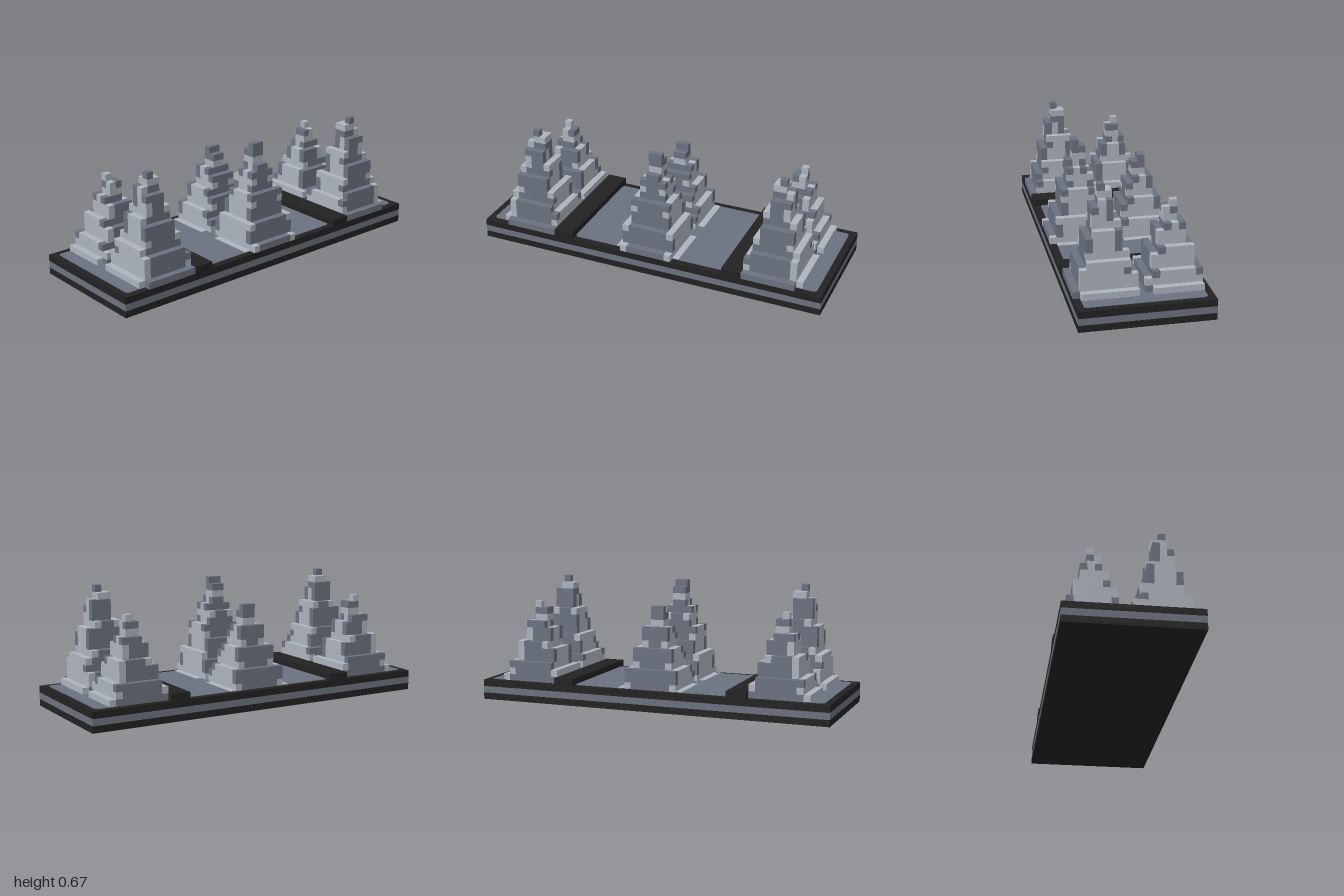
import * as THREE from 'three';
import { mergeGeometries } from 'three/addons/utils/BufferGeometryUtils.js';

const U = 1 / 27; // one block
const material = (name, color) => {
  const m = new THREE.MeshStandardMaterial({ color });
  m.name = name;
  return m;
};

// Box between block coordinates; x counts from the right edge of the base (0..19)
function block(x0, x1, y0, y1, z0, z1) {
  const g = new THREE.BoxGeometry((x1 - x0) * U, (y1 - y0) * U, (z1 - z0) * U);
  return g.translate(((x0 + x1) / 2 - 9.5) * U, ((y0 + y1) / 2) * U, ((z0 + z1) / 2) * U);
}

// How many steps have been taken below layer y
const steps = (heights, y) => heights.filter((h) => y >= h).length;

// Step heights on each side of the short and the tall spire
const SPIRES = [
  {
    name: 'shortSpire', top: 15, x0: 1, x1: 9,
    low: [6, 9, 12], high: [5, 8, 11, 14],
    outer: [4, 6, 9, 12], inner: [5, 8, 11, 14], middle: [6, 9, 12],
    darkLow: [5, 11, 13], darkHigh: [3, 5, 8, 11],
  },
  {
    name: 'tallSpire', top: 18, x0: 10, x1: 19,
    low: [6, 9, 13, 17], high: [4, 7, 11, 15],
    outer: [4, 8, 12, 16], inner: [6, 9, 13, 17], middle: [7, 11, 14],
    darkLow: [6, 9, 10, 11, 13, 14, 15, 17], darkHigh: [3, 9, 10, 14],
  },
];

// Stepped spire: dark flanks, light front and back rows, mixed corners
function spire(s, row, light, dark) {
  const lightParts = [], darkParts = [];
  for (let y = 3; y < s.top; y++) {
    const x0 = s.x0 + steps(s.low, y), x1 = s.x1 - steps(s.high, y);
    let z0, z1;
    if (row === 0) {
      z1 = 4 - steps(s.middle, y);
      z0 = -z1;
    } else {
      z0 = 15 + steps(s.inner, y);
      z1 = 24 - steps(s.outer, y);
      if (row < 0) [z0, z1] = [-z1, -z0];
    }
    if (z1 - z0 > 2) darkParts.push(block(x0, x1, y, y + 1, z0 + 1, z1 - 1));

    // Front and back rows of this layer
    for (const z of new Set([z0, z1 - 1])) {
      if (x1 - x0 > 2) lightParts.push(block(x0 + 1, x1 - 1, y, y + 1, z, z + 1));
      const isOuter = row !== 0 && z === (row > 0 ? z1 - 1 : z0);
      for (const x of new Set([x0, x1 - 1])) {
        const listed = (x === x0 ? s.darkLow : s.darkHigh).includes(y);
        if (isOuter && listed && y === 3) continue; // trimmed foot corner
        const isDark = isOuter ? listed : row === 0 ? y % 3 !== 0 : y % 4 !== 0;
        (isDark ? darkParts : lightParts).push(block(x, x + 1, y, y + 1, z, z + 1));
      }
    }
  }
  // Flush foot strips of the middle spires
  if (row === 0) {
    for (const z of [-5, 4]) lightParts.push(block(s.x0 + (s.x0 > 9 ? 1 : 0), s.x1 - 1, 2.9, 3.15, z, z + 1));
  }
  const group = new THREE.Group();
  group.name = s.name;
  for (const [name, parts, mat] of [['lightStone', lightParts, light], ['darkStone', darkParts, dark]]) {
    const mesh = new THREE.Mesh(mergeGeometries(parts), mat);
    mesh.name = name;
    group.add(mesh);
  }
  return group;
}

export function createModel() {
  const black = material('black stone', 0x222222);
  const dark = material('dark grey stone', 0x6b7280);
  const light = material('light grey stone', 0xadb4be);
  const model = new THREE.Group();
  model.name = 'spireBoard';
  const add = (name, geometry, mat) => {
    const mesh = new THREE.Mesh(geometry, mat);
    mesh.name = name;
    model.add(mesh);
  };

  // Layered base
  add('baseBottom', block(0, 19, 0, 1, -27, 27), black);
  add('baseStripe', block(0, 19, 1, 2, -27, 27), dark);
  add('baseTop', block(0, 19, 2, 3, -27, 27), black);

  // Floor panels with clipped corners
  for (const [name, z0, z1] of [['backFloor', -26, -15], ['middleFloor', -12, 12], ['frontFloor', 15, 26]]) {
    const c = 0.35, x0 = 1, x1 = 18;
    const points = [[x0 + c, z0], [x1 - c, z0], [x1, z0 + c], [x1, z1 - c],
      [x1 - c, z1], [x0 + c, z1], [x0, z1 - c], [x0, z0 + c]];
    const shape = new THREE.Shape(points.map(([x, z]) => new THREE.Vector2((x - 9.5) * U, -z * U)));
    const g = new THREE.ExtrudeGeometry(shape, { depth: 0.003, bevelEnabled: false });
    add(name, g.rotateX(-Math.PI / 2).translate(0, 3 * U, 0), dark);
  }

  // Raised cross bars
  add('frontBar', block(0, 19, 3, 4, 12, 15), black);
  add('backBar', block(0, 19, 3, 4, -15, -12), black);

  // Three rows of a short and a tall spire
  for (const row of [-1, 0, 1]) for (const s of SPIRES) model.add(spire(s, row, light, dark));
  return model;
}
